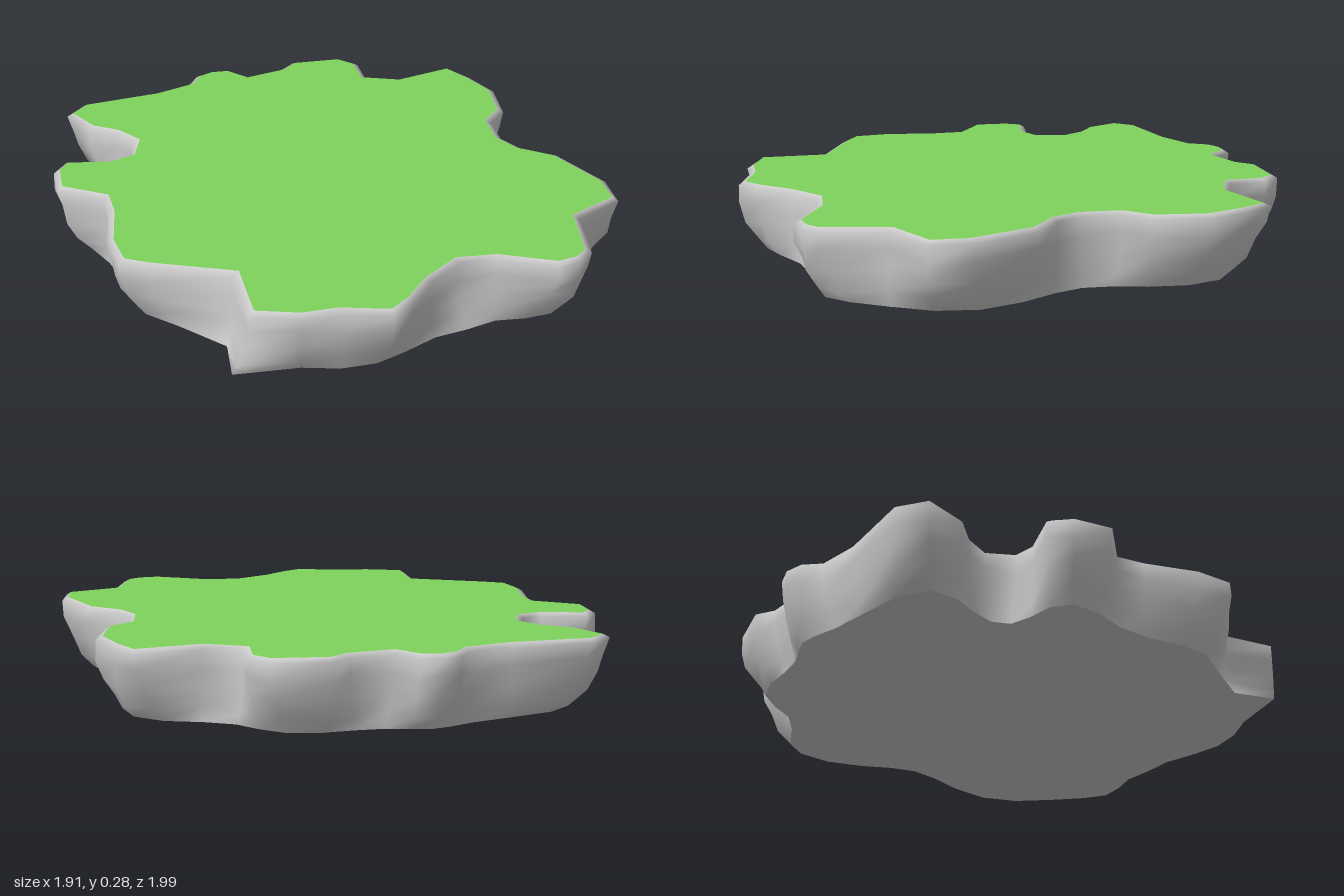
import * as THREE from 'three';

// Plan outline (x, z), clockwise from the back left corner
const OUTLINE = [
  [-0.67, -0.90], [-0.37, -0.89], [-0.21, -0.92], [-0.16, -0.98], [-0.09, -1.00],
  [-0.01, -0.98], [0.04, -0.89], [0.20, -0.905], [0.27, -0.95], [0.47, -0.91],
  [0.525, -0.825], [0.50, -0.69], [0.62, -0.62], [0.86, -0.64], [0.91, -0.52],
  [0.94, -0.36], [0.885, -0.175], [0.79, -0.105], [0.76, 0.03], [0.79, 0.13],
  [0.89, 0.24], [0.95, 0.49], [0.915, 0.635], [0.715, 0.69], [0.635, 0.905],
  [0.57, 0.945], [0.48, 0.945], [0.31, 0.825], [0.18, 0.79], [0.04, 0.86],
  [-0.065, 0.945], [-0.16, 0.99], [-0.32, 0.915], [-0.445, 0.895], [-0.595, 0.81],
  [-0.555, 0.57], [-0.81, 0.41], [-0.89, 0.34], [-0.89, 0.195], [-0.83, 0.0],
  [-0.815, -0.105], [-0.957, -0.235], [-0.935, -0.375], [-0.87, -0.44], [-0.71, -0.385],
  [-0.63, -0.40], [-0.583, -0.495], [-0.63, -0.59], [-0.715, -0.67], [-0.765, -0.825],
].map(([x, z]) => new THREE.Vector2(x, z));

const N = OUTLINE.length;
const at = (ring, i) => ring[(i + N) % N];
const TOP = 0.285;

// Ring moved inwards along its corner normals
const inset = (ring, d) => ring.map((p, i) => {
  const t = at(ring, i + 1).clone().sub(at(ring, i - 1)).normalize();
  return new THREE.Vector2(p.x - t.y * d, p.y + t.x * d);
});

// Ring with its lobes and notches softened
const soften = (ring) => ring.map((p, i) =>
  p.clone().multiplyScalar(2).add(at(ring, i - 1)).add(at(ring, i + 1)).multiplyScalar(0.25));

// Foot of the rock: narrower and softer, spreading in two front notches
function footRing() {
  const foot = soften(soften(OUTLINE)).map((p) => p.multiplyScalar(0.94));
  foot[27].set(0.32, 0.82);
  foot[28].set(0.20, 0.83);
  foot[29].set(0.08, 0.83);
  foot[34].set(-0.64, 0.76);
  foot[35].set(-0.60, 0.60);
  return foot;
}

// The underside sags slightly towards the left edge
const footY = (x, z) => 0.02 - 0.02 * Math.exp(-((x + 0.7) ** 2 + (z + 0.08) ** 2) / 0.12);

function cliffGeometry(rim, foot) {
  const pos = [];
  const idx = [];
  // Height and how far each ring has moved from outline to foot
  const levels = [[0.272, 0], [0.21, 0.06], [0.14, 0.26], [0.07, 0.62], [0, 1]];
  rim.forEach((p) => pos.push(p.x, TOP, p.y));
  levels.forEach(([y, k], r) => OUTLINE.forEach((p, i) => {
    const inner = r > 0 && r < 4;
    const wobble = inner ? 0.1 * Math.sin(i * 2.3 + r * 1.7) : 0;
    const q = p.clone().lerp(foot[i], k + wobble);
    const h = r === 4 ? footY(q.x, q.y) : y + (inner ? 0.012 * Math.sin(i * 1.9 + r) : 0);
    pos.push(q.x, h, q.y);
  }));
  for (let r = 0; r < levels.length; r++) {
    for (let i = 0; i < N; i++) {
      const j = (i + 1) % N;
      const a = r * N + i, b = r * N + j, c = a + N, d = b + N;
      idx.push(a, b, d, a, d, c);
    }
  }
  const g = new THREE.BufferGeometry();
  g.setAttribute('position', new THREE.Float32BufferAttribute(pos, 3));
  g.setIndex(idx);
  g.computeVertexNormals();
  return g;
}

export function createModel() {
  const group = new THREE.Group();
  const rock = new THREE.MeshStandardMaterial({ color: 0xcccccc });
  const grass = new THREE.MeshStandardMaterial({ color: 0x7ed35c });
  const add = (name, geometry, material) => {
    const mesh = new THREE.Mesh(geometry, material);
    mesh.name = name;
    group.add(mesh);
  };
  const rim = inset(OUTLINE, 0.024);
  const foot = footRing();

  // Flat grassy top
  const top = new THREE.ShapeGeometry(new THREE.Shape(rim.map((p) => new THREE.Vector2(p.x, -p.y))));
  top.rotateX(-Math.PI / 2).translate(0, TOP, 0);
  add('grassTop', top, grass);

  // Rocky side with a bevelled lip
  add('rockSide', cliffGeometry(rim, foot), rock);

  // Underside
  const under = new THREE.ShapeGeometry(new THREE.Shape(foot));
  under.rotateX(Math.PI / 2);
  const p = under.attributes.position;
  for (let i = 0; i < p.count; i++) p.setY(i, footY(p.getX(i), p.getZ(i)));
  under.computeVertexNormals();
  add('underside', under, rock);

  return group;
}
